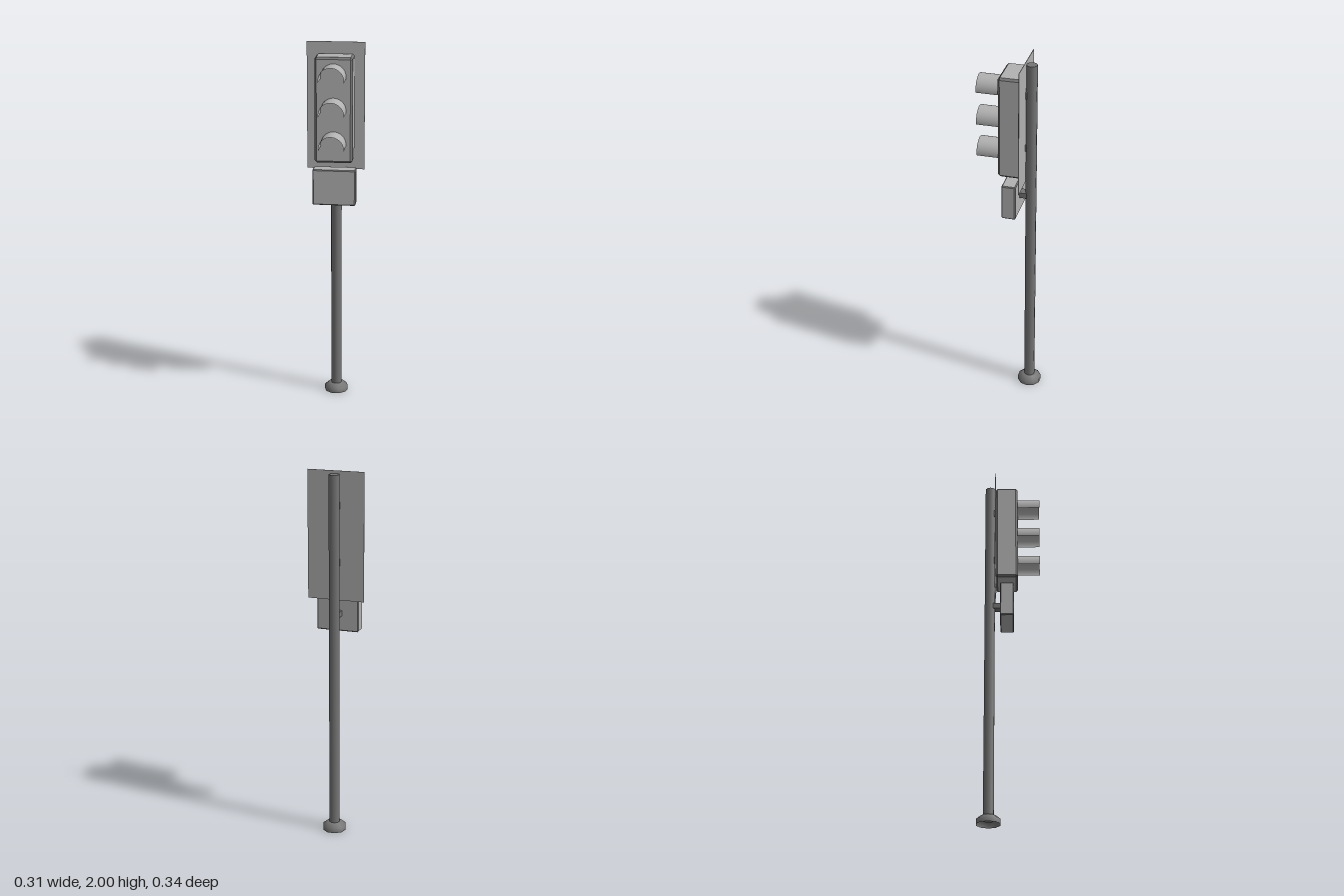
import * as THREE from 'three';
import { ConvexGeometry } from 'three/addons/geometries/ConvexGeometry.js';

const lightGrey = new THREE.MeshStandardMaterial({ color: 0xb2b2b2, side: THREE.DoubleSide });
lightGrey.name = 'lightGrey';
const darkGrey = new THREE.MeshStandardMaterial({ color: 0x757575, side: THREE.DoubleSide });
darkGrey.name = 'darkGrey';

const POLE_Z = -0.108;

function add(group, name, geometry, material, x = 0, y = 0, z = 0) {
  const mesh = new THREE.Mesh(geometry, material);
  mesh.name = name;
  mesh.position.set(x, y, z);
  group.add(mesh);
  return mesh;
}

// Box with chamfered edges: group 0 holds the flat sides, group 1 the chamfers
function chamferedBox(w, h, d, c) {
  const points = [];
  for (const sx of [-1, 1]) for (const sy of [-1, 1]) for (const sz of [-1, 1]) {
    for (let full = 0; full < 3; full++) {
      const inset = [c, c, c];
      inset[full] = 0;
      points.push(new THREE.Vector3(
        sx * (w / 2 - inset[0]), sy * (h / 2 - inset[1]), sz * (d / 2 - inset[2])));
    }
  }
  const geometry = new ConvexGeometry(points);
  const normal = geometry.attributes.normal;
  for (let i = 0; i < normal.count; i += 3) {
    const largest = Math.max(
      Math.abs(normal.getX(i)), Math.abs(normal.getY(i)), Math.abs(normal.getZ(i)));
    geometry.addGroup(i, 3, largest > 0.99 ? 0 : 1);
  }
  return geometry;
}

export function createModel() {
  const model = new THREE.Group();
  model.name = 'trafficSignal';

  // Pole and its hollow, rounded foot
  const pole = new THREE.CylinderGeometry(0.029, 0.029, 1.965, 10);
  pole.rotateY(Math.PI / 2);
  add(model, 'pole', pole, darkGrey, 0, 0.02 + 1.965 / 2, POLE_Z);

  const footProfile = [[0.065, 0], [0.065, 0.026], [0.042, 0.045], [0.027, 0.046]]
    .map(([r, y]) => new THREE.Vector2(r, y));
  const foot = new THREE.LatheGeometry(footProfile, 10);
  foot.rotateY(Math.PI / 2);
  add(model, 'foot', foot, darkGrey, 0, 0, POLE_Z);

  // Thin plate behind the lamp housing
  add(model, 'backPlate', new THREE.BoxGeometry(0.308, 0.687, 0.003), lightGrey, 0, 1.6565, -0.078);

  // Lamp housing and control box
  const boxMaterials = [lightGrey, darkGrey];
  add(model, 'lampHousing', chamferedBox(0.2, 0.563, 0.123, 0.011), boxMaterials, 0, 1.6565, -0.015);
  add(model, 'controlBox', chamferedBox(0.23, 0.195, 0.075, 0.005), boxMaterials, 0, 1.2325, -0.0135);

  // Half-round visors over the three lamps
  const visor = new THREE.CylinderGeometry(
    0.067, 0.067, 0.124, 20, 1, true, Math.PI / 2 - 0.15, Math.PI + 0.3);
  visor.rotateX(Math.PI / 2);
  for (let i = 0; i < 3; i++) add(model, 'visor', visor, lightGrey, 0, 1.838 - 0.18 * i, 0.107);

  // Brackets joining the housing and control box to the pole
  for (const y of [1.82, 1.52]) {
    add(model, 'housingBracket', new THREE.BoxGeometry(0.048, 0.036, 0.02), darkGrey, 0, y, -0.077);
  }
  add(model, 'boxBracket', new THREE.BoxGeometry(0.048, 0.03, 0.045), darkGrey, 0, 1.235, -0.0665);

  return model;
}
